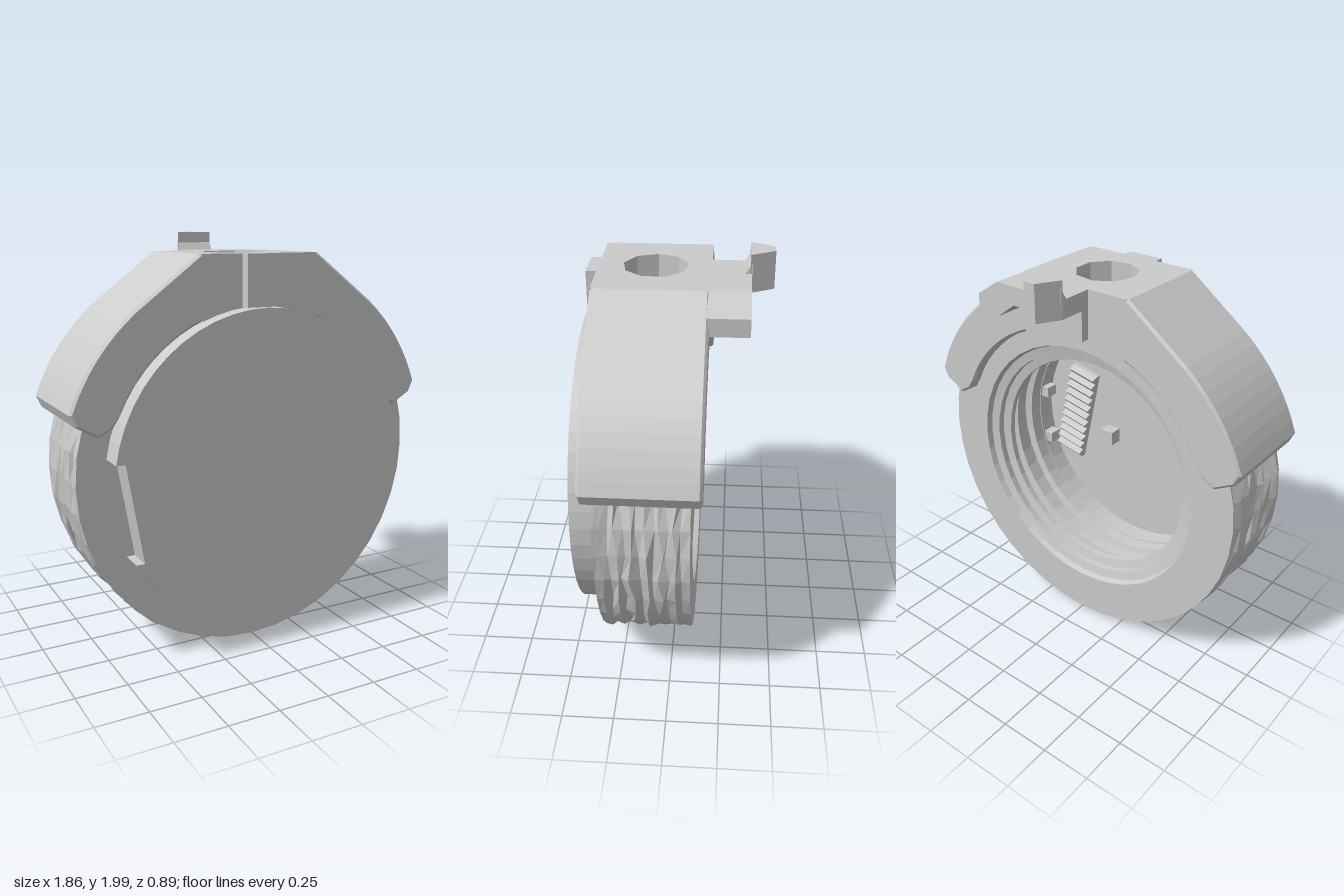
import * as THREE from 'three';

const mat = new THREE.MeshStandardMaterial({ color: 0xcccccc, flatShading: true });
const CY = 0.907; // height of the ring axis

const shapeOf = pts => new THREE.Shape(pts.map(p => new THREE.Vector2(p[0], p[1])));
const hash = (a, b) => {
  const s = Math.sin(a * 127.1 + b * 311.7) * 43758.5453;
  return s - Math.floor(s) - 0.5;
};
// Points on a circle about the ring axis, angles in degrees
const arc = (r, from, to, n) => Array.from({ length: n + 1 }, (_, i) => {
  const a = (from + (to - from) * i / n) * Math.PI / 180;
  return [r * Math.cos(a), CY + r * Math.sin(a)];
});

export function createModel() {
  const model = new THREE.Group();

  const add = (name, geo, x = 0, y = 0, z = 0) => {
    const mesh = new THREE.Mesh(geo, mat);
    mesh.name = name;
    mesh.position.set(x, y, z);
    model.add(mesh);
    return mesh;
  };
  const box = (name, x0, x1, y0, y1, z0, z1) => add(name,
    new THREE.BoxGeometry(x1 - x0, y1 - y0, z1 - z0), (x0 + x1) / 2, (y0 + y1) / 2, (z0 + z1) / 2);
  // Extrude an x-y outline between two z planes
  const slab = (name, shape, z0, z1, y = 0) => add(name,
    new THREE.ExtrudeGeometry(shape, { depth: z1 - z0, bevelEnabled: false, curveSegments: 24 }), 0, y, z0);
  // Extrude an (x, -z) outline between two heights
  const upright = (name, shape, y0, y1) => add(name,
    new THREE.ExtrudeGeometry(shape, { depth: y1 - y0, bevelEnabled: false }).rotateX(-Math.PI / 2), 0, y0, 0);

  // Ring body: rough outside, stepped lip and grooves inside, turned about z
  const segs = 40, rows = 13;
  const profile = [[0.67, -0.105], [0.895, -0.105]];
  for (let i = 1; i < rows; i++) profile.push([i % 2 ? 0.884 : 0.9, -0.105 + 0.425 * i / rows]);
  profile.push([0.9, 0.32], [0.64, 0.32], [0.64, 0.23], [0.68, 0.22], [0.68, 0.17], [0.63, 0.16],
    [0.63, 0.10], [0.68, 0.09], [0.68, 0.03], [0.57, 0.01], [0.57, -0.02], [0.615, -0.03],
    [0.615, -0.065], [0.66, -0.075], [0.67, -0.105]);
  const ring = new THREE.LatheGeometry(profile.map(p => new THREE.Vector2(p[0], p[1])), segs);
  const pos = ring.attributes.position;
  for (let k = 0; k < pos.count; k++) {
    const row = k % profile.length, seg = Math.floor(k / profile.length) % segs;
    if (row < 2 || row > rows) continue;
    const f = 1 + 0.016 * hash(seg, row);
    pos.setXYZ(k, pos.getX(k) * f, pos.getY(k) + 0.028 * hash(row + 50, seg), pos.getZ(k) * f);
  }
  add('ringBody', ring.rotateX(Math.PI / 2), 0, CY, 0);

  // Front cover: a disc with a shallow chord cut on one side
  const coverShape = () => {
    const s = new THREE.Shape();
    s.absarc(0, 0, 0.762, Math.atan2(-0.36, -0.67), Math.atan2(0.113, -0.75), false);
    s.lineTo(-0.71, 0.113);
    s.lineTo(-0.63, -0.36);
    return s;
  };
  const wall = coverShape();
  wall.holes.push(new THREE.Path().absarc(0, 0, 0.635, 0, Math.PI * 2, true));
  slab('coverWall', wall, 0.3, 0.4, CY);
  slab('coverPlate', coverShape(), 0.4, 0.443, CY);

  // Clip arms, mirrored, with softened edges
  const arm = [[0.27, 1.91], [0.31, 1.91], ...arc(0.99, 51, 20, 8), [0.905, 1.19], [0.80, 1.13],
    [0.73, 1.17], ...arc(0.765, 24, 69, 8)];
  const b = 0.012;
  for (const side of [1, -1]) {
    const geo = new THREE.ExtrudeGeometry(shapeOf(arm.map(([x, y]) => [x * side, y])), {
      depth: 0.525 - 2 * b, bevelThickness: b, bevelSize: b, bevelOffset: -b, bevelSegments: 1 });
    add(side > 0 ? 'clipArmLeft' : 'clipArmRight', geo, 0, 0, -0.155 + b);
  }

  // Clip crown with a faceted hole from above
  const crown = shapeOf([[-0.3, -0.37], [0.3, -0.37], [0.3, 0.155], [-0.3, 0.155]]);
  const hole = [];
  for (let i = 0; i < 9; i++) {
    const a = -(i + 0.5) / 9 * Math.PI * 2;
    hole.push(new THREE.Vector2(0.155 * Math.cos(a), -0.105 + 0.155 * Math.sin(a)));
  }
  crown.holes.push(new THREE.Path(hole));
  upright('clipCrown', crown, 1.76, 1.91);

  // Lips hanging from the crown in front of and behind the ring
  const lip = [[0.3, 1.78], [-0.3, 1.78], ...arc(0.765, 113, 67, 8)];
  slab('clipFrontLip', shapeOf(lip), 0.31, 0.37);
  slab('clipBackLip', shapeOf(lip), -0.155, -0.09);
  box('frontTab', -0.095, 0.095, 1.67, 1.91, 0.33, 0.42);

  // Rear ledge, post and pointed hook
  slab('rearLedge', shapeOf([[-0.09, 1.91], [0.3, 1.91], [0.42, 1.83], [0.42, 1.745], [0.3, 1.745],
    [0.2, 1.82], [-0.09, 1.82]]), -0.335, -0.135);
  box('rearPost', -0.09, 0.09, 1.67, 1.83, -0.2, -0.12);
  upright('hook', shapeOf([[-0.092, 0.33], [0.092, 0.33], [0.03, 0.443], [-0.03, 0.443]]), 1.82, 2.0);
  const gusset = new THREE.ExtrudeGeometry(shapeOf([[0.3, 1.9], [0.34, 1.9], [0.34, 1.96], [0.325, 1.94]]),
    { depth: 0.18, bevelEnabled: false }).rotateY(Math.PI / 2);
  add('hookGusset', gusset, -0.09, 0, 0);

  // Toothed rack inside the cover: length along y, teeth toward the back
  const teeth = [[-0.28, 0], [0.28, 0], [0.28, 0.03]];
  for (let i = 10; i >= 0; i--) {
    const y = -0.28 + 0.56 * i / 11;
    teeth.push([y + 0.035, 0.065], [y, 0.03]);
  }
  const rack = new THREE.ExtrudeGeometry(shapeOf(teeth), { depth: 0.17, bevelEnabled: false });
  rack.translate(0, 0, -0.085).applyMatrix4(new THREE.Matrix4().makeBasis(
    new THREE.Vector3(0, 1, 0), new THREE.Vector3(0, 0, -1), new THREE.Vector3(-1, 0, 0)));
  add('rack', rack, 0.41, 0.92, 0.402).rotation.z = 0.2;

  // Small stops inside the cover
  box('innerBlock', 0.13, 0.21, 0.81, 0.89, 0.33, 0.41);
  box('wallStopUpper', 0.58, 0.67, 0.98, 1.04, 0.31, 0.38);
  box('wallStopLower', 0.56, 0.66, 0.69, 0.75, 0.31, 0.38);
  box('sideStop', -0.6, -0.49, 1.24, 1.3, 0.31, 0.38);
  box('chordRib', -0.645, -0.555, 0.66, 0.96, 0.3, 0.41).rotation.z = 0.17;

  return model;
}
